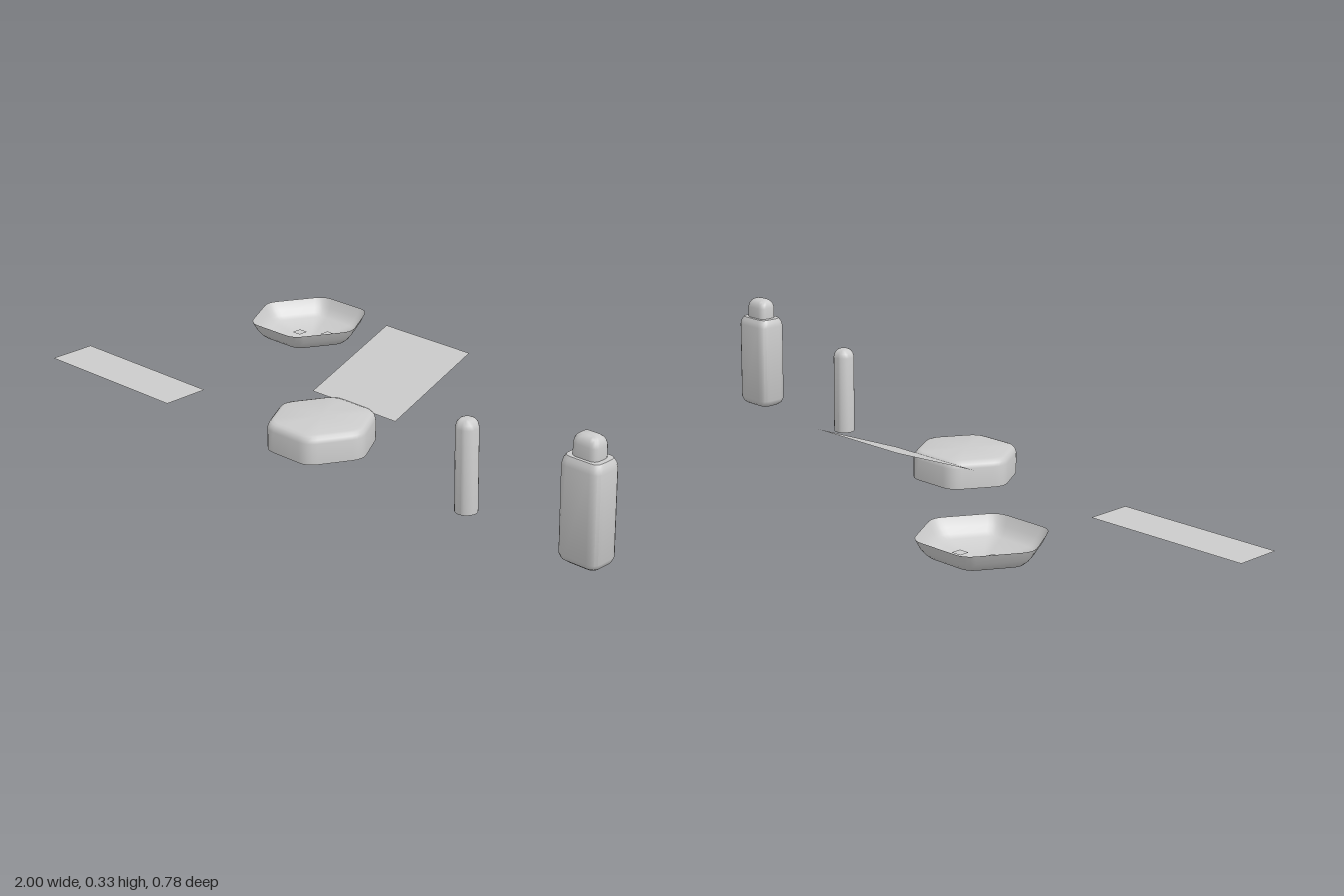
import * as THREE from 'three';
import { toCreasedNormals } from 'three/addons/utils/BufferGeometryUtils.js';

const material = new THREE.MeshStandardMaterial({ color: 0xcccccc, side: THREE.DoubleSide });

// Convex outline in x/z whose corners are rounded, starting `cut` away from each corner
function roundedPlan(corners, cut, steps = 4) {
  const points = [];
  corners.forEach((corner, i) => {
    const n = corners.length;
    const toward = (other) => corner.clone().add(other.clone().sub(corner).setLength(cut));
    const arc = new THREE.QuadraticBezierCurve(
      toward(corners[(i + n - 1) % n]), corner, toward(corners[(i + 1) % n]));
    points.push(...arc.getPoints(steps));
  });
  return points;
}

function hexPlan(apothem, cut) {
  const radius = apothem / Math.cos(Math.PI / 6);
  const corners = Array.from({ length: 6 }, (_, i) => new THREE.Vector2(
    radius * Math.cos(i * Math.PI / 3), radius * Math.sin(i * Math.PI / 3)));
  return roundedPlan(corners, cut);
}

function rectPlan(hx, hz, cut) {
  return roundedPlan([[hx, -hz], [hx, hz], [-hx, hz], [-hx, -hz]]
    .map(([x, z]) => new THREE.Vector2(x, z)), cut);
}

// Stack the outline along [inset, y] pairs; an inset of 1 closes the end to a point
function loft(plan, hx, hz, profile) {
  const positions = [];
  const index = [];
  const n = plan.length;
  for (const [inset, y] of profile) {
    const sx = Math.max(0, 1 - inset / hx);
    const sz = Math.max(0, 1 - inset / hz);
    for (const p of plan) positions.push(p.x * sx, y, p.y * sz);
  }
  for (let i = 0; i < profile.length - 1; i++) {
    for (let j = 0; j < n; j++) {
      const a = i * n + j, b = i * n + (j + 1) % n;
      if (profile[i][0] < 1) index.push(a, a + n, b);
      if (profile[i + 1][0] < 1) index.push(b, a + n, b + n);
    }
  }
  const geometry = new THREE.BufferGeometry();
  geometry.setAttribute('position', new THREE.Float32BufferAttribute(positions, 3));
  geometry.setIndex(index);
  return toCreasedNormals(geometry, 0.7);
}

export function createModel() {
  const model = new THREE.Group();
  const add = (name, geometry, x, y, z, parent = model) => {
    const mesh = new THREE.Mesh(geometry, material);
    mesh.name = name;
    mesh.position.set(x, y, z);
    parent.add(mesh);
    return mesh;
  };
  const flat = (w, d) => new THREE.PlaneGeometry(w, d).rotateX(-Math.PI / 2);

  // Open hexagonal dish with a shallow pointed bottom
  const dish = new THREE.Group();
  dish.name = 'dish';
  dish.position.set(-0.56, 0, -0.24);
  model.add(dish);
  add('dishBowl', loft(hexPlan(0.153, 0.03), 0.153, 0.153,
    [[1, 0], [0.035, 0.029], [0.023, 0.039], [0.012, 0.053], [0, 0.078]]), 0, 0, 0, dish);
  // Two small square chips inside the dish
  add('chipA', flat(0.03, 0.03), -0.03, 0.025, 0.01, dish);
  add('chipB', flat(0.03, 0.03), 0.045, 0.027, -0.03, dish);

  // Hexagonal lid, hollow underneath
  add('lid', loft(hexPlan(0.133, 0.03), 0.133, 0.133,
    [[0, 0], [0, 0.058], [0.003, 0.068], [0.009, 0.075], [0.018, 0.078], [1, 0.078]]),
    -0.008, 0, 0.259);

  // Tilted square sheet, higher at the back
  const sheet = add('sheet', flat(0.307, Math.hypot(0.29, 0.11)), -0.007, 0.125, -0.004);
  sheet.rotation.x = Math.atan2(0.11, 0.29);

  // Long strip lying on the ground
  add('strip', flat(0.495, 0.137), -0.753, 0.001, 0.295);

  // Slim round tube, open below
  const tube = [[0.03, 0], [0.03, 0.226], [0.027, 0.238], [0.019, 0.247], [0.012, 0.25], [0, 0.25]]
    .map(([r, y]) => new THREE.Vector2(r, y));
  add('tube', toCreasedNormals(new THREE.LatheGeometry(tube, 24), 0.7), 0.545, 0, 0.308);

  // Bottle with rounded edges and a domed cap
  const bottle = new THREE.Group();
  bottle.name = 'bottle';
  bottle.position.set(0.938, 0, 0.325);
  model.add(bottle);
  add('bottleBody', loft(rectPlan(0.06, 0.045, 0.026), 0.06, 0.045,
    [[1, 0.002], [0.014, 0.002], [0.005, 0.009], [0, 0.022], [0, 0.252],
      [0.003, 0.265], [0.009, 0.275], [1, 0.277]]), 0, 0, 0, bottle);
  add('bottleCap', loft(rectPlan(0.038, 0.028, 0.02), 0.038, 0.028,
    [[0, 0.274], [0, 0.307], [0.003, 0.319], [0.008, 0.326], [0.015, 0.331], [1, 0.332]]),
    0, 0, 0, bottle);

  return model;
}
